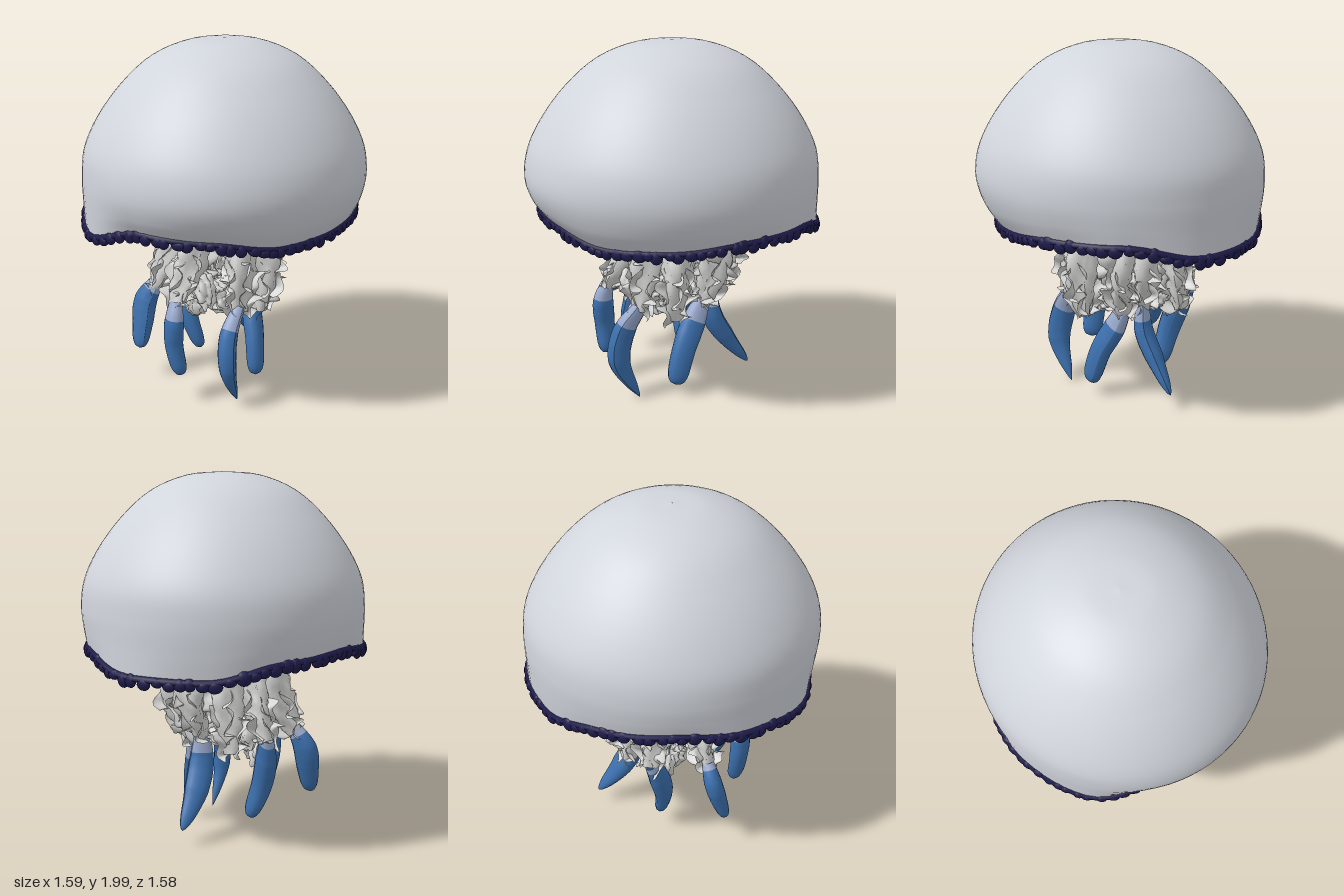
import * as THREE from 'three';
import { ParametricGeometry } from 'three/addons/geometries/ParametricGeometry.js';

const V = (x, y, z) => new THREE.Vector3(x, y, z);
const TAU = Math.PI * 2;
const { lerp, smoothstep } = THREE.MathUtils;

function seeded(seed) {
  return () => {
    seed = (seed * 16807) % 2147483647;
    return seed / 2147483647;
  };
}

// Smooth periodic lookup in a table spread evenly round the bell
function around(table, angle) {
  const n = table.length;
  const f = ((((angle / TAU) % 1) + 1) % 1) * n;
  const i = Math.floor(f), s = f - i, w = s * s * (3 - 2 * s);
  return table[i % n] * (1 - w) + table[(i + 1) % n] * w;
}

// Rim height and radius every 30 degrees, starting at the front, towards +x
const rimHeights = [1.03, 1.04, 1.075, 1.08, 1.0, 0.995, 1.075, 1.095, 1.06, 1.0, 1.095, 1.075];
const rimRadii = [0.675, 0.685, 0.73, 0.77, 0.79, 0.765, 0.76, 0.76, 0.785, 0.78, 0.715, 0.675];

// The bell is slightly oval along one diagonal
const oval = (a) => 1 - 0.02 * Math.sin(2 * a);

const rimPoint = (a) => {
  const r = around(rimRadii, a) * oval(a);
  return V(Math.sin(a) * r, around(rimHeights, a), Math.cos(a) * r);
};

// Profiles of [radius, height] that run from the rim to the crown
const outerProfile = [[0.789, 1.28], [0.772, 1.42], [0.7, 1.575], [0.565, 1.755], [0.4, 1.9], [0.2, 1.982], [0.0005, 2]];
const innerProfile = [[0.73, 1.26], [0.67, 1.36], [0.5, 1.44], [0.25, 1.47], [0.0005, 1.48]];

function bellSurface(profile, inside) {
  return new ParametricGeometry((u, v, target) => {
    const a = u * TAU;
    const r = around(rimRadii, a) - (inside ? 0.012 : 0), h = around(rimHeights, a);
    // The wall bulges between the rim and the widest ring
    const [wideR, wideH] = profile[0];
    const pts = [[r, h], [lerp(r, wideR, 0.65), lerp(h, wideH, 0.45)], ...profile];
    const curve = new THREE.CatmullRomCurve3(pts.map(([x, y]) => V(x * oval(a), y, 0)));
    const p = curve.getPoint(inside ? 1 - v : v);
    target.set(Math.sin(a) * p.x, p.y, Math.cos(a) * p.x);
  }, 80, 32);
}

// Tube whose radius follows a list; shape(t, angle) can squash or roughen it
function taperedTube(curve, radii, rows, sides, shape) {
  const g = new THREE.TubeGeometry(curve, rows, 1, sides, false);
  const pos = g.attributes.position;
  const p = V(0, 0, 0);
  for (let i = 0; i <= rows; i++) {
    const t = i / rows, c = curve.getPointAt(t);
    const f = t * (radii.length - 1), k = Math.min(Math.floor(f), radii.length - 2);
    const r = lerp(radii[k], radii[k + 1], f - k);
    for (let j = 0; j <= sides; j++) {
      const n = i * (sides + 1) + j;
      p.fromBufferAttribute(pos, n).sub(c).multiplyScalar(r * shape(t, (j / sides) * TAU)).add(c);
      pos.setXYZ(n, p.x, p.y, p.z);
    }
  }
  g.computeVertexNormals();
  return g;
}

export function createModel() {
  const group = new THREE.Group();
  const rand = seeded(4217);
  const material = (name, color, side = THREE.FrontSide) =>
    Object.assign(new THREE.MeshStandardMaterial({ color, side }), { name });
  const pale = material('pale bell', 0xd1d5dc);
  const flesh = material('pale oral arm', 0xd5d5d4, THREE.DoubleSide);
  const navy = material('navy rim', 0x1f1c4c);
  const blue = material('blue tentacle', 0x3b6fad, THREE.DoubleSide);
  const lightBlue = material('light blue tentacle root', 0x9aaace, THREE.DoubleSide);
  const add = (name, geometry, mat) => {
    const mesh = new THREE.Mesh(geometry, mat);
    mesh.name = name;
    group.add(mesh);
    return mesh;
  };

  // Bell, outside and hollow underside
  add('bell', bellSurface(outerProfile, false), pale);
  add('bellUnderside', bellSurface(innerProfile, true), pale);

  // Rim band with a fringe of small uneven lobes
  const rimCurve = new THREE.CatmullRomCurve3(
    Array.from({ length: 48 }, (_, i) => rimPoint((i / 48) * TAU)), true);
  add('rimBand', new THREE.TubeGeometry(rimCurve, 120, 0.018, 6, true), navy);
  const lobe = new THREE.SphereGeometry(1, 10, 7);
  const lobeCount = 80;
  for (let i = 0; i < lobeCount; i++) {
    const a = ((i + 0.5 * rand()) / lobeCount) * TAU;
    const m = add('rimLobe', lobe, navy);
    m.position.copy(rimPoint(a));
    m.position.y -= 0.008 + 0.014 * rand();
    m.rotation.set(0, a, 0.5 * (rand() - 0.5));
    m.scale.set(0.032 + 0.01 * rand(), 0.026 + 0.014 * rand(), 0.022);
  }

  // Tentacles: path from root to tip, tip radius, rows in the pale root
  const tentacles = [
    { path: [[-0.35, 0.6, 0.13], [-0.37, 0.5, 0.15], [-0.37, 0.35, 0.14], [-0.34, 0.17, 0.16]], tip: 0.06, root: 9 },
    { path: [[-0.34, 0.58, -0.22], [-0.39, 0.47, -0.25], [-0.42, 0.34, -0.23], [-0.45, 0.2, -0.2]], tip: 0.045, root: 4 },
    { path: [[-0.04, 0.57, 0.28], [-0.12, 0.43, 0.32], [-0.14, 0.25, 0.35], [-0.05, 0.01, 0.28]], tip: 0.01, root: 9 },
    { path: [[-0.08, 0.6, -0.4], [-0.1, 0.47, -0.35], [-0.1, 0.3, -0.29], [-0.05, 0.11, -0.24]], tip: 0.05, root: 3 },
    { path: [[0.19, 0.55, -0.02], [0.16, 0.43, 0.03], [0.14, 0.28, 0.11], [0.12, 0.08, 0.17]], tip: 0.062, root: 10 },
    { path: [[0.18, 0.58, -0.12], [0.19, 0.42, -0.13], [0.25, 0.27, -0.19], [0.36, 0.1, -0.27]], tip: 0.022, root: 7 },
  ];
  tentacles.forEach(({ path, tip, root }, i) => {
    const curve = new THREE.CatmullRomCurve3(path.map((p) => V(...p)));
    // Flattened blade with a blunt rounded end
    const blade = (t, a) => (1 - 0.3 * Math.cos(a + i) ** 2) * Math.sqrt(1 - t ** 16);
    const radii = [0.045, 0.06, 0.071, 0.072, 0.068, lerp(0.068, tip, 0.3), lerp(0.068, tip, 0.6), tip];
    const geometry = taperedTube(curve, radii, 40, 14, blade);
    const split = root * 14 * 6;
    geometry.addGroup(0, split, 0);
    geometry.addGroup(split, geometry.index.count - split, 1);
    add('tentacle', geometry, [lightBlue, blue]);
  });

  // Oral arms: thick stalks that flare under the bell and end at the tentacle roots
  const armEnds = [...tentacles.map((t) => t.path[0]), [0.13, 0.52, 0.2], [0.1, 0.54, -0.34]];
  // Frills: outward share, sideways share, start and end along the arm, width
  const frills = [
    [0.7, 1, 0.62, 1, 0.09], [0.7, -1, 0.62, 1, 0.09], [-1, 0.4, 0.58, 1, 0.13],
    [-1, -0.5, 0.62, 1, 0.12], [1, 0, 0.52, 0.92, 0.09], [1, 0.5, 0.0, 0.34, 0.1], [1, -0.5, 0.0, 0.34, 0.1],
  ];
  armEnds.forEach((end, i) => {
    const a = Math.atan2(end[0] + 0.02, end[2] + 0.04);
    const at = (r, y) => V(Math.sin(a) * r, y, Math.cos(a) * r - 0.03);
    const curve = new THREE.CatmullRomCurve3([
      at(0.5, 1.36), at(0.32, 1.19), at(0.24, 1.0), at(0.28, 0.8), V(end[0], end[1] - 0.02, end[2])]);
    const rough = (t, ang) => {
      const k = smoothstep(t, 0.5, 0.75);
      return 1 + (0.06 + 0.12 * k) * Math.sin(ang * 3 + t * 8 + i) + 0.14 * k * Math.sin(ang * 4 - t * 45);
    };
    add('oralArm', taperedTube(curve, [0.19, 0.11, 0.075, 0.074, 0.084, 0.07, 0.04], 40, 16, rough), flesh);

    const out = V(Math.sin(a), 0, Math.cos(a));
    const side = V(out.z, 0, -out.x);
    frills.forEach(([o, s, start, stop, width], k) => {
      const dir = out.clone().multiplyScalar(o).addScaledVector(side, s).normalize();
      const across = V(dir.z, 0, -dir.x);
      const frill = new ParametricGeometry((u, v, target) => {
        const edge = 0.045 + width * Math.sin(Math.PI * (0.05 + 0.9 * v))
          * (0.75 + 0.25 * Math.sin(v * 17 + k * 2 + i) + 0.15 * Math.sin(v * 37 + i));
        target.copy(curve.getPointAt(start + (stop - start) * v));
        target.addScaledVector(dir, edge * u);
        target.addScaledVector(across, 0.03 * u * Math.sin(v * 20 + u * 4 + i * 2 + k));
        target.y += (0.025 * Math.sin(v * 15 + k * 3 + i) - 0.03) * u;
      }, 6, 36);
      add('armFrill', frill, flesh);
    });
  });

  // Short stump hanging among the arms
  const stump = new THREE.CatmullRomCurve3([V(0.22, 1.25, 0.05), V(0.26, 1.0, 0.06), V(0.33, 0.82, 0.07)]);
  add('armStump', taperedTube(stump, [0.1, 0.055, 0.06, 0.07, 0.06], 16, 12, (t) => Math.sqrt(1 - t ** 16)), flesh);

  // Crumpled tissue between the lower ends of the arms
  for (let i = 0; i < 32; i++) {
    const a = i * 2.4, r = 0.05 + 0.19 * rand();
    const geometry = new THREE.SphereGeometry(1, 24, 16);
    const pos = geometry.attributes.position;
    const p = V(0, 0, 0);
    for (let n = 0; n < pos.count; n++) {
      p.fromBufferAttribute(pos, n);
      const k = 1 + 0.25 * Math.sin(p.x * 8 + i) * Math.sin(p.y * 6 + 2 * i) + 0.2 * Math.sin(p.z * 9 + p.x * 5 + i);
      pos.setXYZ(n, p.x * k, p.y * k, p.z * k);
    }
    geometry.computeVertexNormals();
    const clump = add('frillClump', geometry, flesh);
    clump.position.set(Math.sin(a) * r - 0.03, 0.49 + 0.25 * rand(), Math.cos(a) * r * 1.15 - 0.03);
    clump.scale.set(0.05, 0.065 + 0.03 * rand(), 0.05);
    clump.rotation.set(rand(), rand() * 6, rand());
  }

  return group;
}
